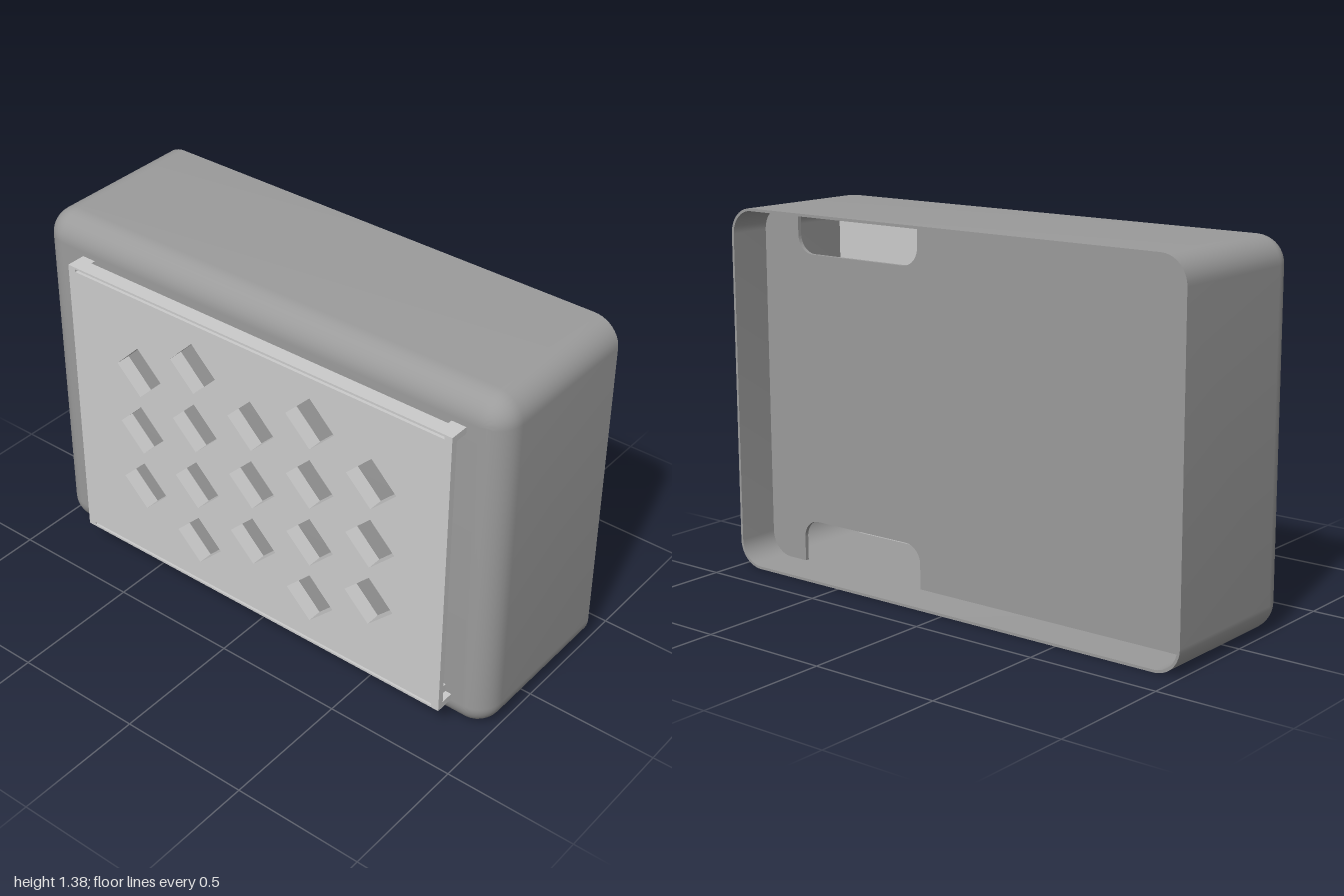
import * as THREE from 'three';
import { toCreasedNormals } from 'three/addons/utils/BufferGeometryUtils.js';

const W = 1, H = 1.375, R = 0.1, WALL = 0.01;
const FRONT = 0.29, BACK = -0.365, PANEL = -0.2, INNER = 0.205;

// Rounded rectangle loop, counter-clockwise from the front
function loop(z, inset, corner = 10) {
  const r = Math.max(R - inset, 0.001), pts = [];
  const cx = W - inset - r, cy = H / 2 - inset - r;
  [[1, 1], [-1, 1], [-1, -1], [1, -1]].forEach(([sx, sy], q) => {
    for (let i = 0; i <= corner; i++) {
      const a = (q + i / corner) * Math.PI / 2;
      pts.push([sx * cx + r * Math.cos(a), H / 2 + sy * cy + r * Math.sin(a), z]);
    }
  });
  return pts;
}
const centre = z => loop(z, 0).map(() => [0, H / 2, z]);

// Skin a series of loops
function loft(loops) {
  const n = loops[0].length, index = [];
  for (let i = 0; i < loops.length - 1; i++) {
    for (let j = 0; j < n; j++) {
      const k = (j + 1) % n;
      const a = i * n + j, b = i * n + k, c = a + n, d = b + n;
      index.push(a, c, b, c, d, b);
    }
  }
  const g = new THREE.BufferGeometry();
  g.setAttribute('position', new THREE.Float32BufferAttribute(loops.flat(2), 3));
  g.setIndex(index);
  return toCreasedNormals(g, 0.6);
}

// Outline of the divider with a cable notch at top and bottom
function dividerShape() {
  const x = W - WALL, y0 = WALL, y1 = H - WALL, r = R - WALL;
  const nl = 0.24, nr = 0.82, nh = 0.165, nc = 0.07;
  const s = new THREE.Shape();
  s.moveTo(-x + r, y0);
  s.lineTo(nl, y0);
  s.lineTo(nl, y0 + nh - nc);
  s.absarc(nl + nc, y0 + nh - nc, nc, Math.PI, Math.PI / 2, true);
  s.absarc(nr - nc, y0 + nh - nc, nc, Math.PI / 2, 0, true);
  s.lineTo(nr, y0);
  s.absarc(x - r, y0 + r, r, -Math.PI / 2, 0, false);
  s.absarc(x - r, y1 - r, r, 0, Math.PI / 2, false);
  s.lineTo(nr, y1);
  s.absarc(nr - nc, y1 - nh + nc, nc, 0, -Math.PI / 2, true);
  s.absarc(nl + nc, y1 - nh + nc, nc, -Math.PI / 2, -Math.PI, true);
  s.lineTo(nl, y1);
  s.absarc(-x + r, y1 - r, r, Math.PI / 2, Math.PI, false);
  s.absarc(-x + r, y0 + r, r, Math.PI, Math.PI * 1.5, false);
  return s;
}

function polygon(Type, pts) {
  return new Type(pts.map(([x, y]) => new THREE.Vector2(x, y)));
}
const rect = (x0, y0, x1, y1) => [[x0, y0], [x1, y0], [x1, y1], [x0, y1]];

export function createModel() {
  const group = new THREE.Group();
  const light = new THREE.MeshStandardMaterial({ color: 0xcccccc });
  const dark = new THREE.MeshStandardMaterial({ color: 0x9b9b9b });
  const add = (name, geometry, material, x = 0, y = 0, z = 0) => {
    const m = new THREE.Mesh(geometry, material);
    m.name = name;
    m.position.set(x, y, z);
    group.add(m);
  };
  const extrude = (shape, depth) =>
    new THREE.ExtrudeGeometry(shape, { depth, bevelEnabled: false, curveSegments: 10 });

  // Case: front face, rounded front edge, thin walls, open back
  const loops = [centre(FRONT)];
  for (let i = 0; i <= 10; i++) {
    const a = i / 10 * Math.PI / 2;
    loops.push(loop(FRONT - R + R * Math.cos(a), R - R * Math.sin(a)));
  }
  loops.push(loop(BACK, 0), loop(BACK, WALL), loop(INNER, WALL));
  add('case', loft(loops), dark);

  // Pale lining on the inside of the front
  add('frontLining', loft([loop(INNER, WALL), centre(INNER)]), light);

  // Thin divider set back from the rim, hollow behind
  add('divider', toCreasedNormals(extrude(dividerShape(), 0.015), 0.6), dark, 0, 0, PANEL);

  // Front grille with staggered diamond openings
  const X0 = -0.797, X1 = 0.857, Y0 = 0.103, Y1 = 1.258, t = 0.025;
  const skin = polygon(THREE.Shape, rect(X0, Y0, X1, Y1));
  // The backing is recessed at both ends between its top and bottom rails
  const backing = polygon(THREE.Shape, [
    [X0, Y0], [X1, Y0], [X1, Y0 + t], [X1 - t, Y0 + t], [X1 - t, Y1 - t], [X1, Y1 - t],
    [X1, Y1], [X0, Y1], [X0, Y1 - t], [X0 + t, Y1 - t], [X0 + t, Y0 + t], [X0, Y0 + t],
  ]);
  const d = 0.103;
  for (let col = 0; col < 5; col++) {
    const x = -0.482 + col * 0.2575, rows = col % 2 ? 4 : 3;
    for (let row = 0; row < rows; row++) {
      const y = 0.682 + (row - (rows - 1) / 2) * 0.25;
      const pts = [[x - d, y], [x, y + d], [x + d, y], [x, y - d]];
      for (const s of [skin, backing]) s.holes.push(polygon(THREE.Path, pts));
    }
  }
  // Narrow grooves along the top and bottom edges
  for (const y of [Y0 + 0.008, Y1 - 0.018]) {
    skin.holes.push(polygon(THREE.Path, rect(X0 + 0.032, y, X1 - 0.03, y + 0.01)));
  }
  add('grilleSkin', extrude(skin, 0.025), light, 0, 0, 0.34);
  add('grilleBacking', extrude(backing, 0.032), light, 0, 0, 0.308);

  // L-shaped corner feet holding the grille off the case
  const f = 0.057;
  for (const [x, sx] of [[X0, 1], [X1, -1]]) {
    for (const [y, sy] of [[Y0, 1], [Y1, -1]]) {
      add('grilleFootRail', new THREE.BoxGeometry(f, t, 0.04), light,
        x + sx * f / 2, y + sy * t / 2, 0.29);
      add('grilleFootInner', new THREE.BoxGeometry(f - t, f - t, 0.04), light,
        x + sx * (f + t) / 2, y + sy * (f + t) / 2, 0.29);
    }
  }
  return group;
}
